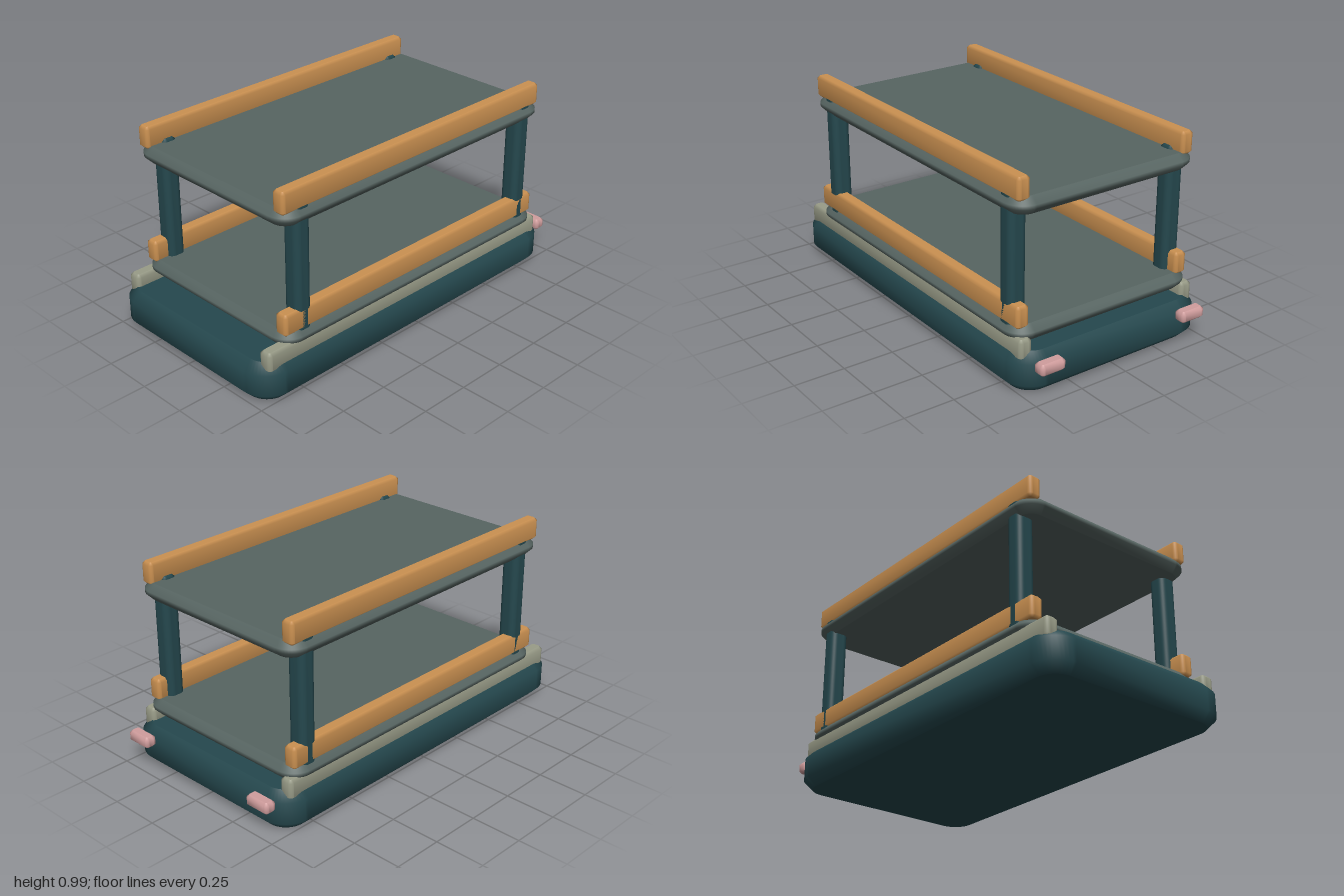
import * as THREE from 'three';
import { mergeVertices, mergeGeometries } from 'three/addons/utils/BufferGeometryUtils.js';

const mat = (name, color) => {
  const m = new THREE.MeshStandardMaterial({ color });
  m.name = name;
  return m;
};

// Block with rounded plan corners, chamfered rims, smooth sides and flat caps
function slabGeometry(w, h, d, radius, bevel) {
  const x = w / 2 - bevel, z = d / 2 - bevel, r = radius - bevel;
  const shape = new THREE.Shape();
  shape.absarc(x - r, z - r, r, 0, Math.PI / 2);
  shape.absarc(-x + r, z - r, r, Math.PI / 2, Math.PI);
  shape.absarc(-x + r, -z + r, r, Math.PI, Math.PI * 1.5);
  shape.absarc(x - r, -z + r, r, Math.PI * 1.5, Math.PI * 2);
  shape.closePath();
  const solid = new THREE.ExtrudeGeometry(shape, {
    depth: h - 2 * bevel, bevelSize: bevel, bevelThickness: bevel, bevelSegments: 1, curveSegments: 6,
  });
  const pos = solid.getAttribute('position').array;
  const parts = solid.groups.map(({ start, count }) => {
    const g = new THREE.BufferGeometry();
    g.setAttribute('position', new THREE.BufferAttribute(pos.slice(start * 3, (start + count) * 3), 3));
    const merged = mergeVertices(g, 1e-4);
    merged.computeVertexNormals();
    return merged;
  });
  const geometry = mergeGeometries(parts);
  geometry.rotateX(-Math.PI / 2);
  geometry.center();
  return geometry;
}

export function createModel() {
  const model = new THREE.Group();
  model.name = 'shelfTrolley';

  const teal = mat('dark teal', 0x25484e);
  const grey = mat('slate grey', 0x576562);
  const wood = mat('warm wood', 0xcb9151);
  const cream = mat('stone', 0x999c88);
  const pink = mat('dusty pink', 0xd09d9d);

  // Places a block by its minimum and maximum on each axis
  function slab(name, material, [x0, x1], [y0, y1], [z0, z1], radius, bevel) {
    const mesh = new THREE.Mesh(slabGeometry(x1 - x0, y1 - y0, z1 - z0, radius, bevel), material);
    mesh.position.set((x0 + x1) / 2, (y0 + y1) / 2, (z0 + z1) / 2);
    mesh.name = name;
    model.add(mesh);
  }

  // Chassis and the two decks
  slab('base', teal, [-0.525, 0.525], [0, 0.195], [-0.94, 1], 0.14, 0.044);
  slab('lowerDeck', grey, [-0.505, 0.505], [0.219, 0.301], [-0.867, 0.85], 0.1, 0.032);
  slab('upperDeck', grey, [-0.505, 0.505], [0.81, 0.893], [-0.867, 0.85], 0.1, 0.032);

  for (const [side, s] of [['left', 1], ['right', -1]]) {
    const span = (a, b) => (s > 0 ? [a, b] : [-b, -a]);

    // Runners between base and lower deck
    slab(side + 'Runner', cream, span(0.428, 0.497), [0.155, 0.254], [-0.88, 0.945], 0.022, 0.014);

    // Wooden guard rails on both decks
    slab(side + 'LowerRail', wood, span(0.419, 0.487), [0.288, 0.395], [-0.845, 0.84], 0.02, 0.013);
    slab(side + 'UpperRail', wood, span(0.419, 0.487), [0.878, 0.987], [-0.845, 0.84], 0.02, 0.013);

    // Corner posts
    slab(side + 'FrontPost', teal, span(0.395, 0.487), [0.185, 0.906], [0.678, 0.766], 0.03, 0.02);
    slab(side + 'BackPost', teal, span(0.395, 0.487), [0.185, 0.906], [-0.793, -0.705], 0.03, 0.02);

    // Rear bumpers
    slab(side + 'Bumper', pink, span(0.336, 0.47), [0.124, 0.181], [-1, -0.938], 0.02, 0.013);
  }
  return model;
}
